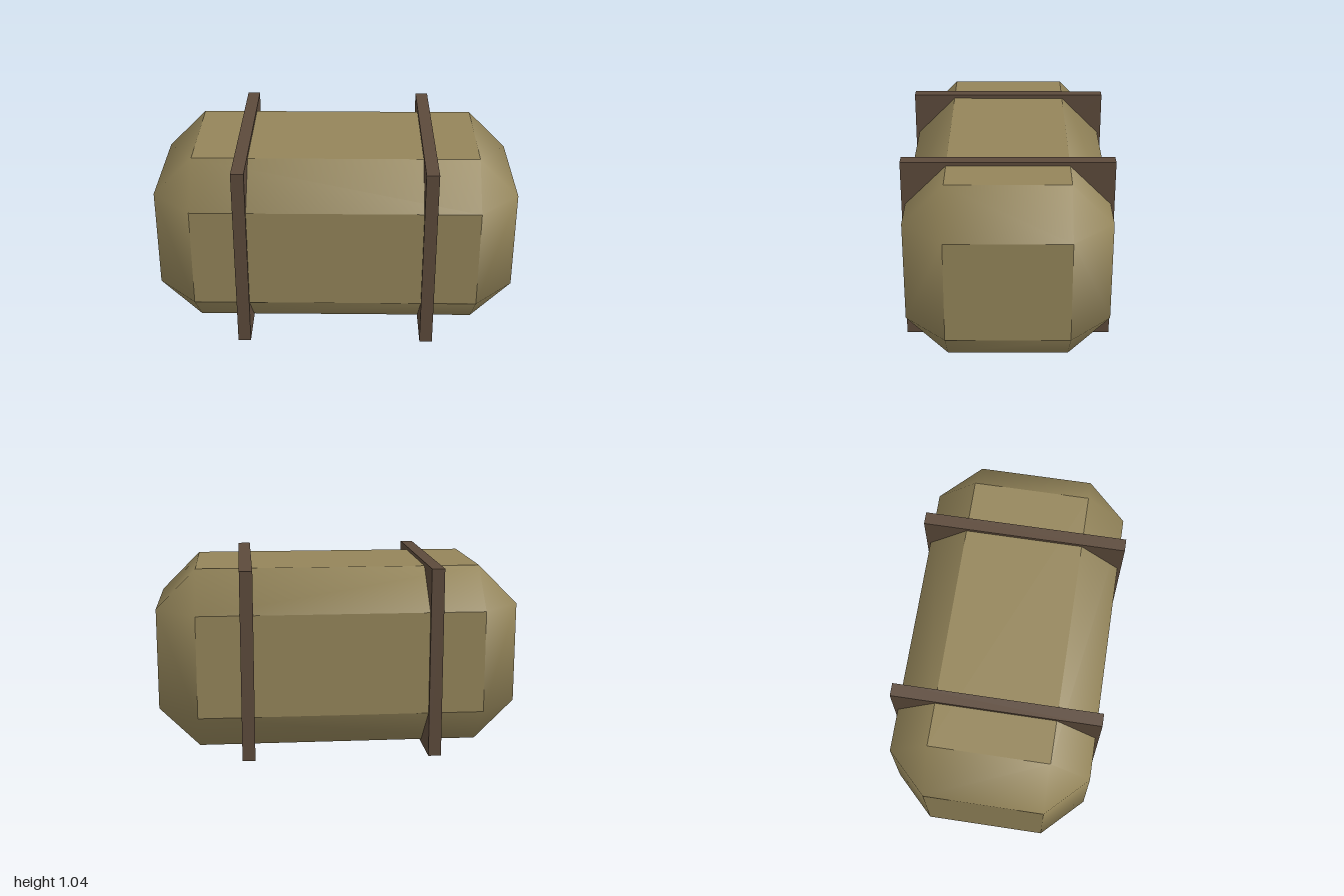
import * as THREE from 'three';

const HALF = [1, 0.5, 0.545]; // half sizes of the body
const CUT = 0.22; // chamfer size
const CENTRE_Y = 0.52;

// Box with 45 degree chamfers: flat main faces, softly shaded chamfers and corners
function chamferedBox() {
  const positions = [], normals = [];

  // Corner of the main face on one axis, with its blended chamfer normal
  const corner = (axis, signs) => ({
    p: new THREE.Vector3(...signs.map((s, i) => s * (i === axis ? HALF[i] : HALF[i] - CUT))),
    n: new THREE.Vector3(...signs.map((s, i) => s * (i === axis ? 1.8 : 1.09))).normalize(),
  });

  // Add a convex polygon facing away from the centre
  const addFace = (corners, flatNormal) => {
    for (let i = 1; i < corners.length - 1; i++) {
      let tri = [corners[0], corners[i], corners[i + 1]];
      const [a, b, c] = tri.map((v) => v.p);
      const facing = b.clone().sub(a).cross(c.clone().sub(a));
      if (facing.dot(a) < 0) tri = [tri[0], tri[2], tri[1]];
      for (const v of tri) {
        positions.push(...v.p.toArray());
        normals.push(...(flatNormal || v.n).toArray());
      }
    }
  };

  const signsFor = (k, sk, i, si, j, sj) => {
    const s = [0, 0, 0];
    s[k] = sk; s[i] = si; s[j] = sj;
    return s;
  };

  for (let k = 0; k < 3; k++) {
    const i = (k + 1) % 3, j = (k + 2) % 3;
    // Main faces
    for (const sk of [-1, 1]) {
      const quad = [[-1, -1], [1, -1], [1, 1], [-1, 1]]
        .map(([si, sj]) => corner(k, signsFor(k, sk, i, si, j, sj)));
      addFace(quad, new THREE.Vector3().setComponent(k, sk));
    }
    // Edge chamfers running along axis k
    for (const si of [-1, 1]) for (const sj of [-1, 1]) {
      const back = signsFor(k, -1, i, si, j, sj), front = signsFor(k, 1, i, si, j, sj);
      addFace([corner(i, back), corner(i, front), corner(j, front), corner(j, back)]);
    }
  }
  // Corner triangles
  for (const x of [-1, 1]) for (const y of [-1, 1]) for (const z of [-1, 1]) {
    addFace([0, 1, 2].map((axis) => corner(axis, [x, y, z])));
  }

  const geometry = new THREE.BufferGeometry();
  geometry.setAttribute('position', new THREE.Float32BufferAttribute(positions, 3));
  geometry.setAttribute('normal', new THREE.Float32BufferAttribute(normals, 3));
  return geometry;
}

export function createModel() {
  const canvas = new THREE.MeshStandardMaterial({ color: 0x94855a });
  canvas.name = 'khaki';
  const leather = new THREE.MeshStandardMaterial({ color: 0x5c4a3b });
  leather.name = 'darkBrown';

  const model = new THREE.Group();
  model.name = 'strappedBundle';

  // Padded body
  const body = new THREE.Mesh(chamferedBox(), canvas);
  body.name = 'body';
  body.position.y = CENTRE_Y;
  model.add(body);

  // Two square straps around the body
  const strapGeometry = new THREE.BoxGeometry(0.07, 1.04, 1.13);
  for (const side of [-1, 1]) {
    const strap = new THREE.Mesh(strapGeometry, leather);
    strap.name = side > 0 ? 'leftStrap' : 'rightStrap';
    strap.position.set(side * 0.51, CENTRE_Y, 0);
    model.add(strap);
  }
  return model;
}
